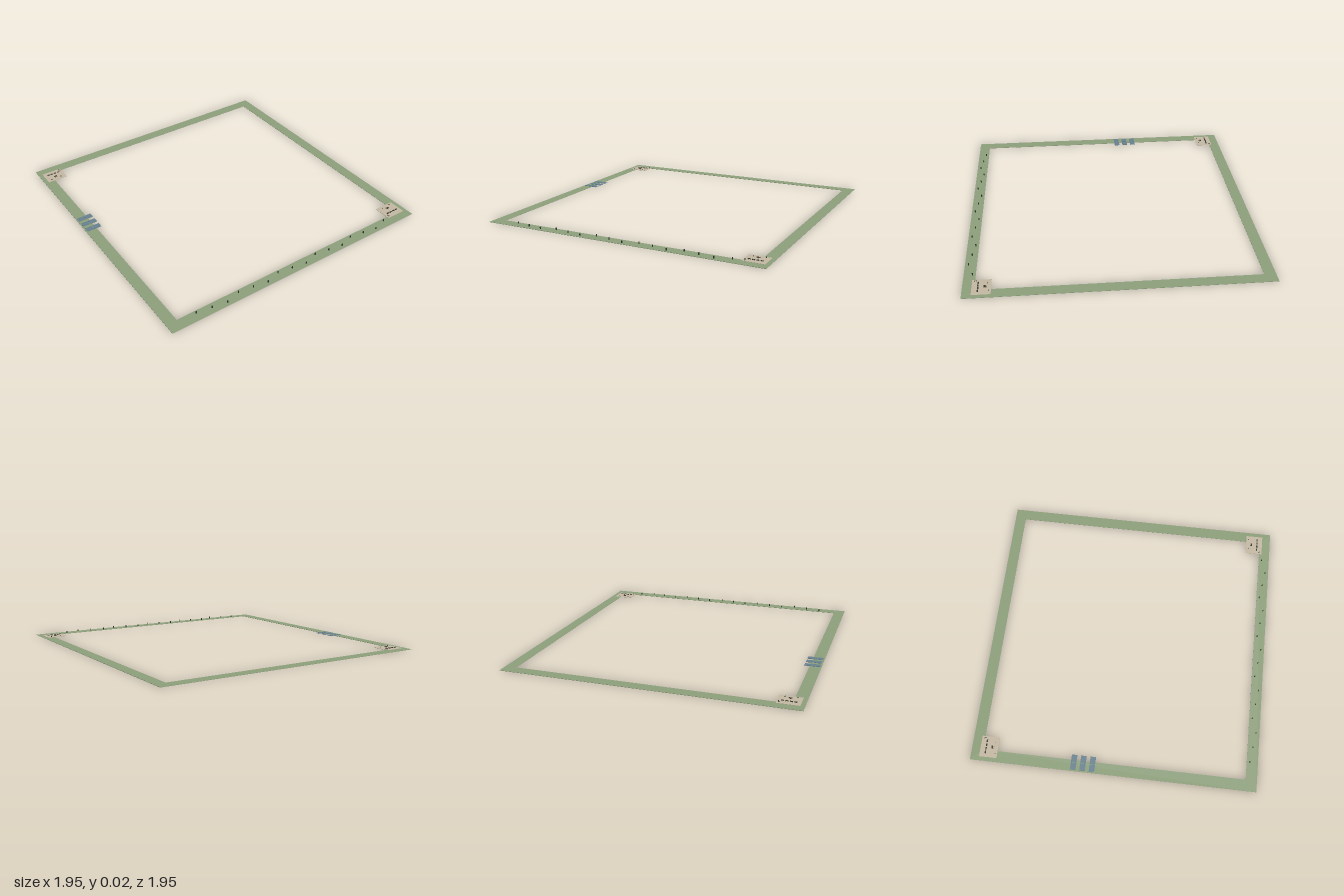
import * as THREE from 'three';

const mat = (color) => new THREE.MeshStandardMaterial({ color, flatShading: true });
const grass = mat(0x8c9f7a), stone = mat(0xc4b8a2), slate = mat(0x67818f);
const dark = mat(0x33352f), wood = mat(0x6b5a4a);

// Box given by centre x/z, underside y, and size
function box(parent, name, material, x, y, z, w, h, d) {
  const mesh = new THREE.Mesh(new THREE.BoxGeometry(w, h, d), material);
  mesh.position.set(x, y + h / 2, z);
  mesh.name = name;
  parent.add(mesh);
  return mesh;
}

// Paved corner with a row of benches, a table and small posts
function createTerrace() {
  const terrace = new THREE.Group();
  terrace.name = 'terrace';
  box(terrace, 'paving', stone, 0, 0.001, 0, 0.143, 0.002, 0.12);
  for (let i = 0; i < 4; i++) {
    const x = -0.038 + i * 0.0257;
    box(terrace, 'benchSeat', dark, x, 0.006, 0.021, 0.017, 0.002, 0.009);
    for (const s of [-1, 1]) box(terrace, 'benchLeg', dark, x + s * 0.006, 0.003, 0.021, 0.002, 0.003, 0.007);
  }
  // Table with two side seats
  box(terrace, 'tableTop', dark, 0, 0.008, -0.02, 0.02, 0.002, 0.01);
  box(terrace, 'tableFoot', wood, 0, 0.003, -0.02, 0.006, 0.005, 0.006);
  for (const s of [-1, 1]) box(terrace, 'tableSeat', wood, s * 0.007, 0.003, -0.029, 0.005, 0.004, 0.005);
  // Small posts near the edges
  for (const [x, z] of [[-0.035, -0.038], [0.04, -0.045], [-0.06, 0.035], [-0.055, 0.046]]) {
    box(terrace, 'post', dark, x, 0.003, z, 0.004, 0.007, 0.004);
  }
  return terrace;
}

export function createModel() {
  const model = new THREE.Group();
  model.name = 'perimeterPark';

  // Square ring of lawn
  const outer = 0.976, inner = 0.9;
  const corners = (r) => [[-r, -r], [r, -r], [r, r], [-r, r]].map(([x, y]) => new THREE.Vector2(x, y));
  const ring = new THREE.Shape(corners(outer));
  ring.holes.push(new THREE.Path(corners(inner).reverse()));
  const lawnGeometry = new THREE.ExtrudeGeometry(ring, { depth: 0.002, bevelEnabled: false });
  lawnGeometry.rotateX(-Math.PI / 2);
  const lawn = new THREE.Mesh(lawnGeometry, grass);
  lawn.name = 'lawnRing';
  model.add(lawn);

  // Terraces on two opposite corners
  for (const s of [-1, 1]) {
    const terrace = createTerrace();
    terrace.position.set(s * 0.877, 0, s * 0.858);
    if (s < 0) terrace.rotation.y = Math.PI;
    model.add(terrace);
  }

  // Three pairs of slate panels across the side strip
  for (let i = 0; i < 3; i++) {
    const z = -0.27 + i * 0.064;
    for (const s of [-1, 1]) {
      box(model, 'panel', slate, -0.916 + s * 0.0265, 0.001, z, 0.05, 0.003, 0.038);
    }
  }

  // Staggered row of marker posts along the front strip
  for (let i = 0; i < 16; i++) {
    const post = new THREE.Mesh(new THREE.CylinderGeometry(0.004, 0.004, 0.014, 8), dark);
    post.position.set(-0.777 + i * 0.102, 0.009, 0.92 + (i % 3) * 0.016);
    post.name = 'markerPost';
    model.add(post);
  }
  return model;
}
